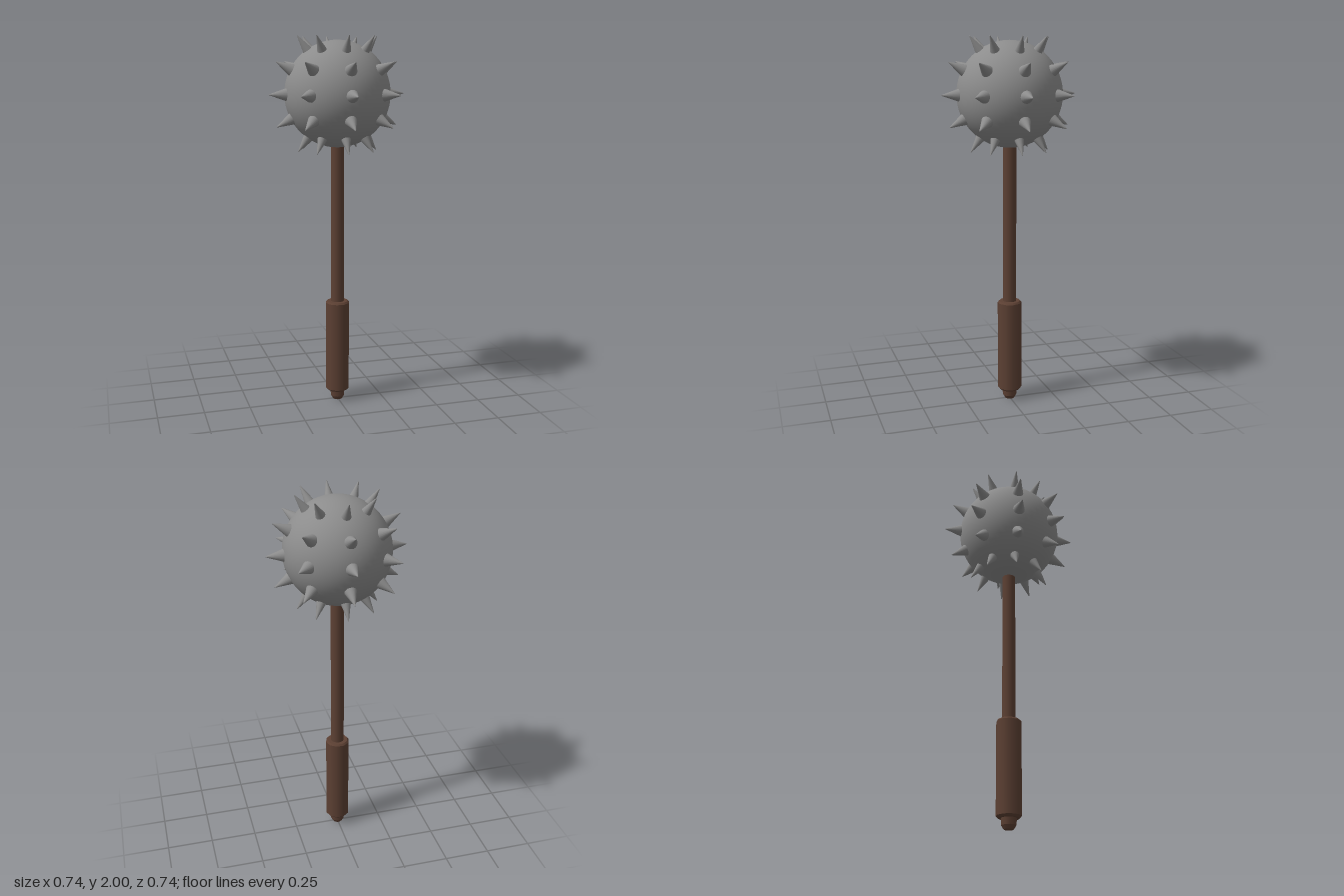
import * as THREE from 'three';

export function createModel() {
  const model = new THREE.Group();
  model.name = 'spikedMace';
  const steel = new THREE.MeshStandardMaterial({ name: 'steel', color: 0x8c8c8c });
  const wood = new THREE.MeshStandardMaterial({ name: 'wood', color: 0x5c4033 });

  const add = (parent, name, geometry, material) => {
    const mesh = new THREE.Mesh(geometry, material);
    mesh.name = name;
    parent.add(mesh);
    return mesh;
  };

  // Turned section between two heights, with a corner on the x axis
  const turned = (name, rBottom, rTop, y0, y1, sides) => {
    const geometry = new THREE.CylinderGeometry(rTop, rBottom, y1 - y0, sides);
    geometry.rotateY(Math.PI / 2).translate(0, (y0 + y1) / 2, 0);
    return add(model, name, geometry, wood);
  };

  // Handle: rounded pommel, bevelled grip and thin shaft
  turned('pommelTip', 0.026, 0.038, 0, 0.02, 10);
  turned('pommel', 0.038, 0.042, 0.02, 0.07, 10);
  turned('gripLowerBevel', 0.056, 0.066, 0.056, 0.066, 10);
  turned('grip', 0.066, 0.066, 0.066, 0.562, 10);
  turned('gripUpperBevel', 0.066, 0.058, 0.562, 0.571, 10);
  turned('shaft', 0.036, 0.036, 0.55, 1.5, 16);

  // Head
  const head = new THREE.Group();
  head.name = 'head';
  head.position.y = 1.7;
  model.add(head);
  add(head, 'ball', new THREE.SphereGeometry(0.28, 48, 32), steel);

  // Five rings of eight spikes, slimmer towards the poles
  const up = new THREE.Vector3(0, 1, 0);
  const spikeGeometry = (radius) =>
    new THREE.CylinderGeometry(0.002, radius, 0.109, 20).translate(0, 0.3135, 0);
  const rings = [
    { latitude: 0, geometry: spikeGeometry(0.039) },
    { latitude: 27, geometry: spikeGeometry(0.038) },
    { latitude: 54.3, geometry: spikeGeometry(0.03) },
  ];
  for (const { latitude, geometry } of rings) {
    for (const side of latitude ? [1, -1] : [1]) {
      const lat = THREE.MathUtils.degToRad(latitude * side);
      for (let i = 0; i < 8; i++) {
        const a = (i * Math.PI) / 4;
        const direction = new THREE.Vector3(
          Math.cos(lat) * Math.cos(a), Math.sin(lat), Math.cos(lat) * Math.sin(a));
        add(head, 'spike', geometry, steel).quaternion.setFromUnitVectors(up, direction);
      }
    }
  }
  return model;
}
